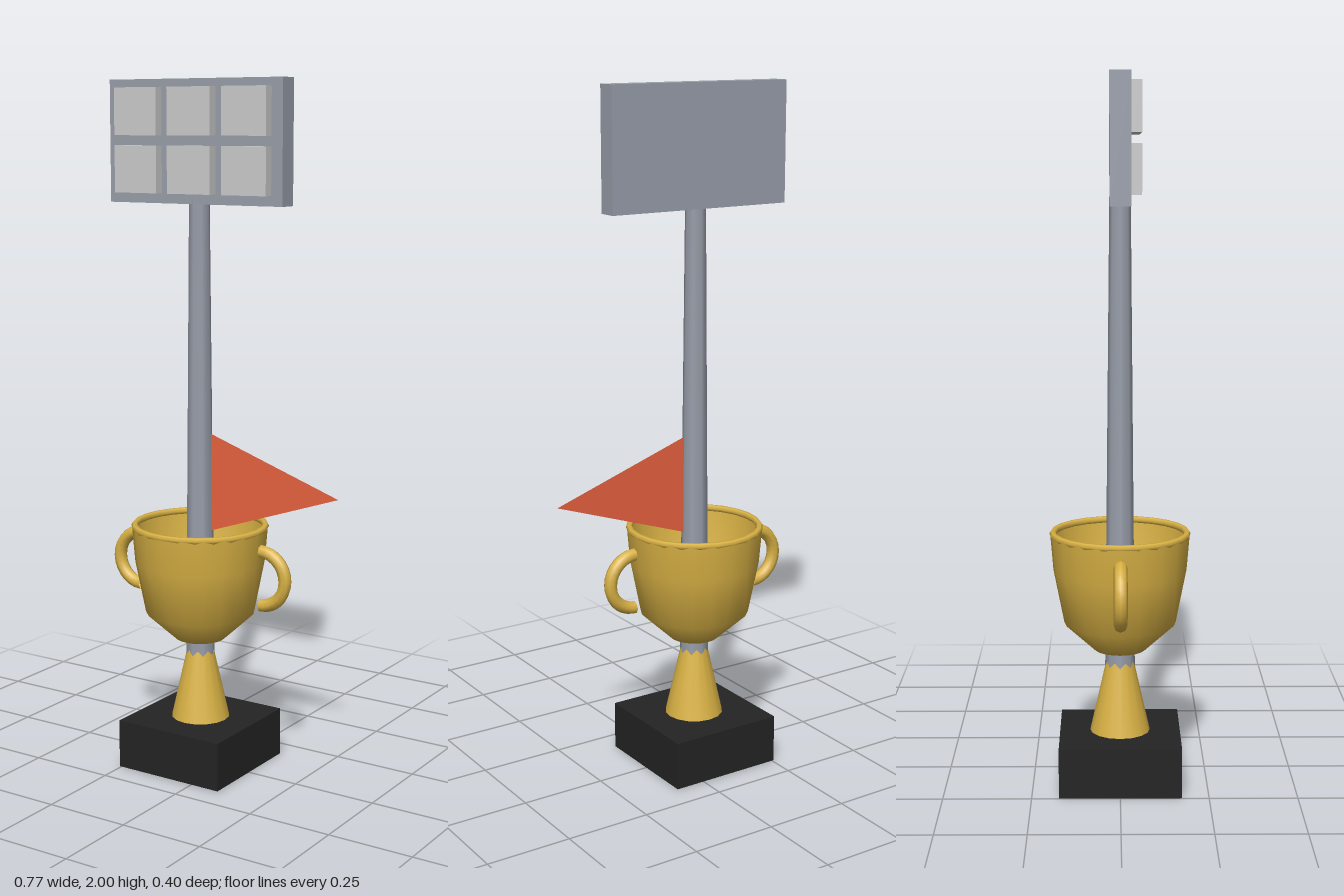
import * as THREE from 'three';

const mat = (color, side = THREE.FrontSide) => new THREE.MeshStandardMaterial({ color, side });

export function createModel() {
  const model = new THREE.Group();
  const gold = mat(0xd9b245);
  const goldOpen = mat(0xd9b245, THREE.DoubleSide);
  const steel = mat(0x989eaa);
  const black = mat(0x242424);
  const lampGrey = mat(0xcccccc);
  const red = mat(0xe8623f, THREE.DoubleSide);

  // everything but the flag is centred on this axis
  const axis = new THREE.Group();
  axis.name = 'trophyAndFloodlight';
  axis.position.x = -0.08;
  model.add(axis);

  const add = (name, geometry, material, x = 0, y = 0, z = 0, parent = axis) => {
    const mesh = new THREE.Mesh(geometry, material);
    mesh.name = name;
    mesh.position.set(x, y, z);
    parent.add(mesh);
    return mesh;
  };

  // plinth with the round foot of the mast sunk into it
  add('plinth', new THREE.BoxGeometry(0.346, 0.143, 0.346), black, 0, 0.0735, 0);
  add('mastFoot', new THREE.CylinderGeometry(0.14, 0.155, 0.06, 16), steel, 0, 0.03, 0);

  // trophy stem and bowl
  add('stem', new THREE.CylinderGeometry(0.032, 0.086, 0.24, 16), gold, 0, 0.265, 0);
  const bowl = [[0, 0.387], [0.073, 0.387], [0.16, 0.467], [0.19, 0.62], [0.199, 0.728]];
  add('bowl', new THREE.LatheGeometry(bowl.map(([r, y]) => new THREE.Vector2(r, y)), 20), goldOpen);
  const rim = add('rim', new THREE.TorusGeometry(0.191, 0.01, 6, 24), gold, 0, 0.726, 0);
  rim.rotation.x = Math.PI / 2;

  // half-ring handles on both sides
  for (const side of [1, -1]) {
    const handle = add(side > 0 ? 'leftHandle' : 'rightHandle',
      new THREE.TorusGeometry(0.08, 0.019, 8, 14, Math.PI), goldOpen, side * 0.209, 0.597, 0);
    handle.rotation.z = -side * Math.PI / 2;
  }

  // tapered mast rising through the bowl
  add('mast', new THREE.CylinderGeometry(0.029, 0.046, 1.74, 8), steel, 0, 0.87, 0);

  // lamp panel with two rows of three lamps
  add('lampPanel', new THREE.BoxGeometry(0.577, 0.345, 0.057), steel, 0, 1.8275, -0.001);
  const lamps = new THREE.Group();
  lamps.name = 'lamps';
  axis.add(lamps);
  for (const y of [1.75, 1.911]) {
    for (const column of [-1, 0, 1]) {
      add('lamp', new THREE.BoxGeometry(0.144, 0.133, 0.04), lampGrey, column * 0.181, y, 0.036, lamps);
    }
  }

  // thin triangular pennant
  const pennant = new THREE.Shape([
    new THREE.Vector2(-0.042, 0.715), new THREE.Vector2(0.378, 0.858), new THREE.Vector2(-0.042, 1.001),
  ]);
  add('pennant', new THREE.ShapeGeometry(pennant), red, 0, 0, 0, model);

  return model;
}
